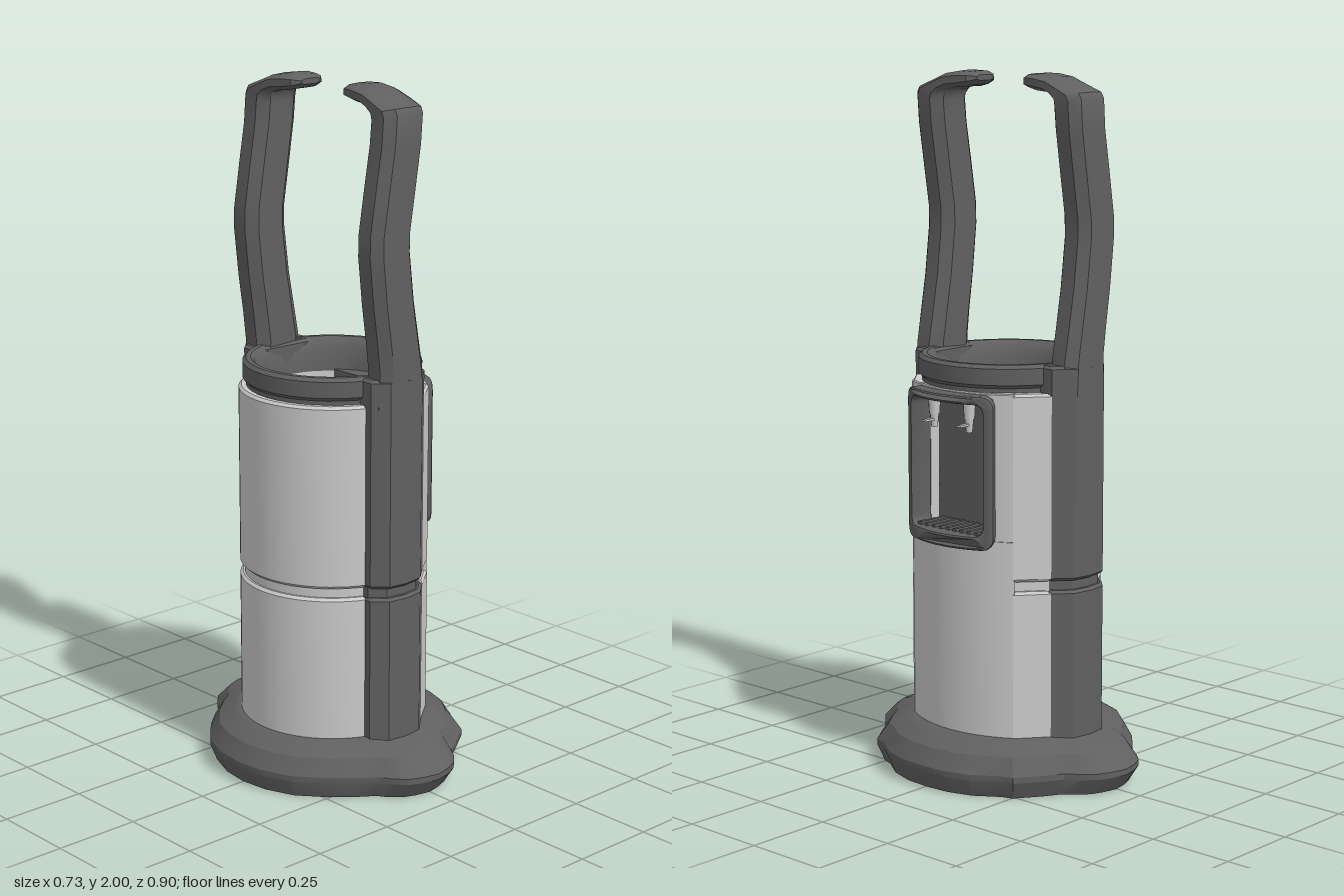
import * as THREE from 'three';
import { toCreasedNormals, mergeVertices } from 'three/addons/utils/BufferGeometryUtils.js';

const silver = new THREE.MeshStandardMaterial({ color: 0xcccccc });
const silverThin = new THREE.MeshStandardMaterial({ color: 0xcccccc, side: THREE.DoubleSide });
const dark = new THREE.MeshStandardMaterial({ color: 0x606060 });
const rad = THREE.MathUtils.degToRad;

function add(parent, name, geometry, material) {
  const m = new THREE.Mesh(geometry, material);
  m.name = name;
  parent.add(m);
  return m;
}

// Skin over rings of [x, y, z]; rings run counter-clockwise seen from the far end
function loft(rings, caps, crease = 0.6) {
  const n = rings[0].length, pos = rings.flat(2), idx = [];
  for (let r = 0; r < rings.length - 1; r++)
    for (let i = 0; i < n; i++) {
      const a = r * n + i, b = r * n + (i + 1) % n;
      idx.push(a, b, b + n, a, b + n, a + n);
    }
  if (caps) {
    const last = (rings.length - 1) * n;
    for (let i = 1; i < n - 1; i++) idx.push(0, i + 1, i, last, last + i, last + i + 1);
  }
  const g = new THREE.BufferGeometry();
  g.setAttribute('position', new THREE.Float32BufferAttribute(pos, 3));
  g.setIndex(idx);
  return toCreasedNormals(g, crease);
}

// Upright bevelled prism from a plan of [x, z] points
function slab(plan, y0, y1, bevel = 0.008) {
  const shape = new THREE.Shape(plan.map(([x, z]) => new THREE.Vector2(x, -z)));
  const g = new THREE.ExtrudeGeometry(shape, {
    depth: y1 - y0 - 2 * bevel, bevelThickness: bevel, bevelSize: bevel,
    bevelOffset: -bevel, bevelSegments: 1,
  });
  g.rotateX(-Math.PI / 2).translate(0, y0 + bevel, 0);
  return toCreasedNormals(g, 0.5);
}

// Plan of a curved wall between two angles (degrees from +x)
function arcPlan(inner, outer, a0, a1, steps = 16) {
  const out = [], inn = [];
  for (let i = 0; i <= steps; i++) {
    const d = a0 + (a1 - a0) * i / steps, a = rad(d);
    const r = typeof outer === 'function' ? outer(d) : outer;
    out.push([r * Math.cos(a), r * Math.sin(a)]);
    inn.unshift([inner * Math.cos(a), inner * Math.sin(a)]);
  }
  return [...out, ...inn];
}

// Rounded rectangle with finely divided sides, so that it can be bent
function roundRect(w, y0, y1, r) {
  const pts = [], corners = [[w - r, y1 - r, 0], [r - w, y1 - r, 90], [r - w, y0 + r, 180], [w - r, y0 + r, 270]];
  corners.forEach(([cx, cy, a0], k) => {
    for (let i = 0; i <= 4; i++) {
      const a = rad(a0 + i * 22.5);
      pts.push(new THREE.Vector2(cx + r * Math.cos(a), cy + r * Math.sin(a)));
    }
    if (k % 2 === 0) {
      const p = pts[pts.length - 1], s = k === 0 ? -1 : 1;
      for (let i = 1; i < 12; i++) pts.push(new THREE.Vector2(cx + s * 2 * (w - r) * i / 12, p.y));
    }
  });
  return pts;
}

function makeBase() {
  const half = [[0.365, 0], [0.36, 0.08], [0.335, 0.16], [0.285, 0.232], [0.275, 0.268], [0.2, 0.32], [0.15, 0.348],
    [0.125, 0.385], [0.09, 0.42], [0.05, 0.438], [0, 0.45], [-0.05, 0.438], [-0.09, 0.42], [-0.122, 0.385],
    [-0.14, 0.352], [-0.19, 0.315], [-0.25, 0.262], [-0.32, 0.18], [-0.355, 0.09], [-0.366, 0]];
  const plan = [...half.map(([x, z]) => [x, -z]), ...half.slice(1, -1).reverse()];
  // each level blends the outline towards a circle
  const ring = (y, t, r) => plan.map(([x, z]) => {
    const k = r / Math.hypot(x, z);
    return [x * (1 - t + t * k), y, z * (1 - t + t * k)];
  });
  return loft([ring(0, 1, 0.18), ring(0, 0.2, 0.27), ring(0.05, 0, 0.27), ring(0.067, 0, 0.27),
    ring(0.115, 0.3, 0.27), ring(0.14, 0.72, 0.27), ring(0.147, 0.9, 0.27), ring(0.147, 1, 0.18), ring(0, 1, 0.18)], false, 0.4);
}

function makeArm() {
  // centre x, half width, inner [z, y], outer [z, y]
  const sections = [
    [0, 0.085, 0.215, 1.12, 0.313, 1.12], [0, 0.08, 0.21, 1.22, 0.315, 1.22], [-0.012, 0.077, 0.21, 1.3, 0.315, 1.3],
    [-0.03, 0.075, 0.21, 1.41, 0.315, 1.41], [-0.046, 0.074, 0.21, 1.55, 0.315, 1.55], [-0.045, 0.074, 0.21, 1.61, 0.315, 1.61],
    [-0.024, 0.074, 0.21, 1.74, 0.315, 1.74], [-0.006, 0.073, 0.21, 1.85, 0.315, 1.85], [0, 0.073, 0.21, 1.91, 0.315, 1.935],
    [0, 0.073, 0.208, 1.928, 0.305, 1.952], [0, 0.072, 0.2, 1.942, 0.255, 1.97], [0, 0.068, 0.18, 1.95, 0.2, 1.992],
    [0, 0.064, 0.14, 1.953, 0.15, 2], [0, 0.058, 0.108, 1.96, 0.11, 1.998], [0, 0.035, 0.088, 1.972, 0.088, 1.988]];
  const profile = [[-0.6, 0], [-1, 0.25], [-1, 0.7], [-0.65, 0.95], [0, 1], [0.65, 0.95], [1, 0.7], [1, 0.25], [0.6, 0]];
  return loft(sections.map(([cx, w, zi, yi, zo, yo]) =>
    profile.map(([u, s]) => [cx + u * w, yi + (yo - yi) * s, zi + (zo - zi) * s])), true, 0.6);
}

function makeDispenser() {
  const g = new THREE.Group();
  g.name = 'dispenser';
  // curved frame: flat outline wrapped round the body
  const outline = new THREE.Shape(roundRect(0.174, 0.69, 1.125, 0.035));
  outline.holes.push(new THREE.Path(roundRect(0.142, 0.73, 1.1, 0.025).reverse()));
  const frame = new THREE.ExtrudeGeometry(outline, { depth: 0.045, bevelThickness: 0.008, bevelSize: 0.007, bevelOffset: -0.007, bevelSegments: 2 });
  const p = frame.attributes.position;
  for (let i = 0; i < p.count; i++) {
    const a = -p.getX(i) / 0.29, r = 0.24 + p.getZ(i);
    p.setXYZ(i, r * Math.cos(a), p.getY(i), r * Math.sin(a));
  }
  frame.deleteAttribute('normal');
  frame.deleteAttribute('uv');
  add(g, 'dispenserFrame', toCreasedNormals(mergeVertices(frame), 0.5), dark);
  // recess walls
  const box = (name, w, h, d, x, y, z) => add(g, name, new THREE.BoxGeometry(w, h, d), dark).position.set(x, y, z);
  box('recessBack', 0.015, 0.4, 0.27, 0.147, 0.915, 0);
  for (const s of [-1, 1]) box('recessSide', 0.1, 0.4, 0.012, 0.19, 0.915, s * 0.137);
  box('recessTop', 0.11, 0.015, 0.27, 0.195, 1.107, 0);
  box('recessFloor', 0.11, 0.02, 0.27, 0.195, 0.72, 0);
  for (let i = 0; i < 9; i++) box('trayRib', 0.1, 0.008, 0.012, 0.205, 0.734, (i - 4) * 0.027);
  // taps
  for (const s of [-1, 1]) {
    const z = s * 0.067;
    add(g, 'tapBody', new THREE.CylinderGeometry(0.018, 0.015, 0.045, 10), silver).position.set(0.235, 1.075, z);
    add(g, 'tapNozzle', new THREE.CylinderGeometry(0.013, 0.009, 0.04, 10), silver).position.set(0.235, 1.035, z);
    add(g, 'tapLever', new THREE.BoxGeometry(0.04, 0.006, 0.014), silver).position.set(0.258, 1.037, z);
  }
  return g;
}

export function createModel() {
  const model = new THREE.Group();
  model.name = 'dispenserTower';
  add(model, 'base', makeBase(), dark);

  // panels and pillars, split by a shallow groove
  const pillar = [[-0.1, 0.21], [-0.1, 0.268], [-0.06, 0.306], [0, 0.315], [0.06, 0.306], [0.11, 0.262], [0.11, 0.2]];
  const flat = [[0.11, 0.19], [0.11, 0.262], [0.195, 0.195], [0.15, 0.145]];
  const flip = (plan) => plan.map(([x, z]) => [x, -z]);
  const parts = [['backPanel', arcPlan(0.205, 0.267, 111, 249, 24), silver, 1.13]];
  for (const f of [(q) => q, flip])
    parts.push(['pillar', f(pillar), dark, 1.205], ['sidePanel', f(flat), silver, 1.13]);
  for (const [name, plan, mat, top] of parts) {
    add(model, name + 'Lower', slab(plan, 0.13, 0.57), mat);
    add(model, name + 'Upper', slab(plan, 0.598, top), mat);
    add(model, name + 'Groove', slab(plan.map(([x, z]) => [x * 0.95, z * 0.95]), 0.55, 0.62), mat);
  }

  // front panel, left open behind the dispenser frame
  const front = (d) => 0.25 + 0.024 * (d / 46) ** 2;
  add(model, 'frontPanel', slab(arcPlan(0.205, front, -46, 46), 0.13, 0.715, 0.003), silver);
  for (const s of [-1, 1]) {
    const a = s > 0 ? [31, 46] : [-46, -31];
    add(model, 'frontPanelSide', slab(arcPlan(0.205, front, a[0], a[1], 5), 0.71, 1.13, 0.003), silver);
  }
  add(model, 'frontPanelTop', slab(arcPlan(0.205, front, -31, 31, 10), 1.11, 1.13, 0.003), silver);

  // inner tube
  const tube = (r0, y0, r1, y1, start, length) => new THREE.LatheGeometry(
    [new THREE.Vector2(r0, y0), new THREE.Vector2(r1, y1)], 40, rad(start), rad(length));
  add(model, 'innerTubeLower', tube(0.18, 0.1, 0.195, 0.72, 0, 360), silverThin);
  add(model, 'innerTubeUpper', tube(0.195, 0.72, 0.206, 1.13, 128, 284), silverThin);

  // rim
  const rim = [[0.203, 1.11], [0.207, 1.17], [0.222, 1.2], [0.232, 1.208], [0.246, 1.208], [0.256, 1.198], [0.256, 1.152], [0.246, 1.142], [0.246, 1.11], [0.203, 1.11]];
  const lathe = new THREE.LatheGeometry(rim.reverse().map(([r, y]) => new THREE.Vector2(r, y)), 40);
  const rimMesh = add(model, 'rim', toCreasedNormals(lathe, 0.5), dark);
  rimMesh.material = dark.clone();
  rimMesh.material.side = THREE.DoubleSide;

  // hooked arms, one the mirror of the other
  add(model, 'frontArm', makeArm(), dark);
  add(model, 'backArm', makeArm(), dark).scale.z = -1;

  model.add(makeDispenser());
  return model;
}
